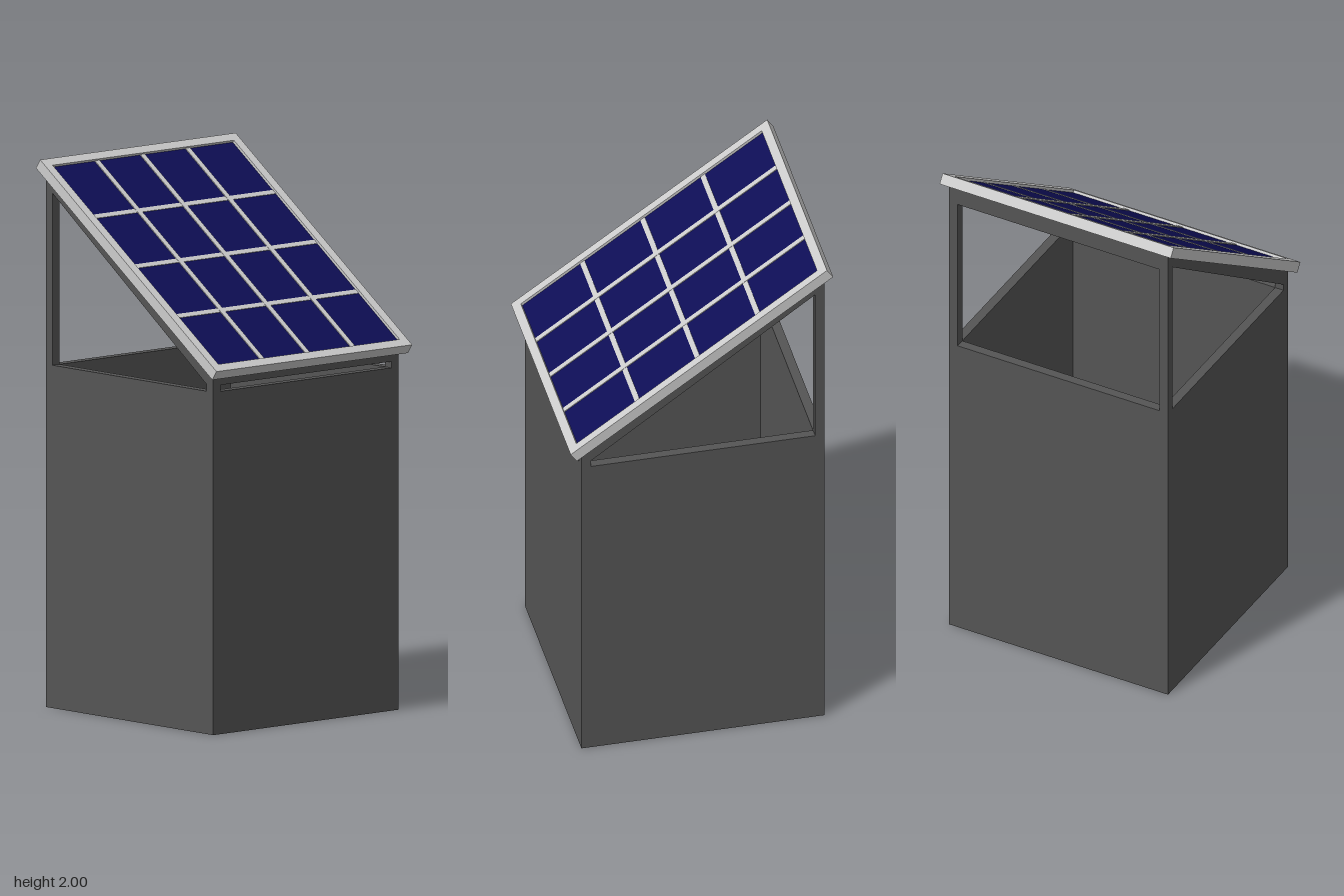
import * as THREE from 'three';

const W = 0.035; // wall, post and frame width

export function createModel() {
  const model = new THREE.Group();
  const dark = new THREE.MeshStandardMaterial({ color: 0x555555 });
  const grey = new THREE.MeshStandardMaterial({ color: 0xcccccc });
  const blue = new THREE.MeshStandardMaterial({ color: 0x0e0e55 });

  const add = (parent, name, geometry, material, x = 0, y = 0, z = 0) => {
    const mesh = new THREE.Mesh(geometry, material);
    mesh.name = name;
    mesh.position.set(x, y, z);
    parent.add(mesh);
    return mesh;
  };
  const box = (w, h, d) => new THREE.BoxGeometry(w, h, d);

  // Rectangular ring lying flat (x by z), centred, with height h
  const ring = (w, d, h) => {
    const rect = (C, a, b) => new C([[-a, -b], [a, -b], [a, b], [-a, b]].map(p => new THREE.Vector2(...p)));
    const shape = rect(THREE.Shape, w / 2, d / 2);
    shape.holes.push(rect(THREE.Path, w / 2 - W, d / 2 - W));
    return new THREE.ExtrudeGeometry(shape, { depth: h, bevelEnabled: false })
      .translate(0, 0, -h / 2).rotateX(-Math.PI / 2);
  };

  // Profile given as [z, y] points, extruded sideways along x
  const sideways = (points, width) => {
    const shape = new THREE.Shape(points.map(p => new THREE.Vector2(...p)));
    return new THREE.ExtrudeGeometry(shape, { depth: width, bevelEnabled: false })
      .translate(0, 0, -width / 2).rotateY(-Math.PI / 2);
  };

  // Open-ended box body
  add(model, 'body', ring(0.9, 0.9, 1.25), dark, 0, 0.625, -0.01);

  // Side supports: short front post, tall rear post and sloping rail in one
  const tilt = THREE.MathUtils.degToRad(35);
  const under = z => 1.6245 - 0.7002 * z; // height of the panel's underside
  const front = 0.44, back = -0.46;
  const support = sideways([
    [front, 1.25], [front, under(front)], [back, under(back)], [back, 1.25],
    [back + W, 1.25], [back + W, 1.878], [front - W, 1.275], [front - W, 1.25],
  ], W);
  for (const [side, s] of [['left', 1], ['right', -1]]) {
    add(model, side + 'Support', support, dark, s * (0.45 - W / 2));
  }

  // Cross rails between the supports
  const rail = (name, z0, z1, y) => add(model, name,
    sideways([[z0, y], [z0, under(z0)], [z1, under(z1)], [z1, y]], 0.9 - 2 * W), dark);
  rail('frontRail', front, front - W, 1.273);
  rail('rearRail', back + W, back, 1.878);

  // Tilted panel
  const panel = new THREE.Group();
  panel.name = 'panel';
  panel.position.y = 1.649;
  panel.rotation.x = tilt;
  model.add(panel);
  const width = 0.95, length = 1.158, thick = 0.04;
  const inW = width - 2 * W, inL = length - 2 * W;
  add(panel, 'panelFrame', ring(width, length, thick), grey);
  add(panel, 'panelBacking', box(inW, 0.02, inL), dark, 0, -0.01, 0);

  // Cells, with the grid bars slightly proud of them
  const cell = box(inW / 4 - 0.022, 0.01, inL / 4 - 0.02);
  for (let i = 0; i < 4; i++) {
    for (let j = 0; j < 4; j++) {
      const x = (i - 1.5) * inW / 4, z = (j - 1.5) * inL / 4;
      const mesh = add(panel, 'solarCell', cell, blue, x, 0.005, z);
      // Outer cells reach the frame
      if (i === 0 || i === 3) {
        mesh.scale.x = (inW / 4 - 0.011) / (inW / 4 - 0.022);
        mesh.position.x += Math.sign(x) * 0.0055;
      }
      if (j === 0 || j === 3) {
        mesh.scale.z = (inL / 4 - 0.01) / (inL / 4 - 0.02);
        mesh.position.z += Math.sign(z) * 0.005;
      }
    }
  }
  for (let i = -1; i <= 1; i++) {
    add(panel, 'lengthBar', box(0.022, 0.013, inL), grey, i * inW / 4, 0.0065, 0);
    add(panel, 'crossBar', box(inW, 0.012, 0.02), grey, 0, 0.006, i * inL / 4);
  }

  return model;
}
